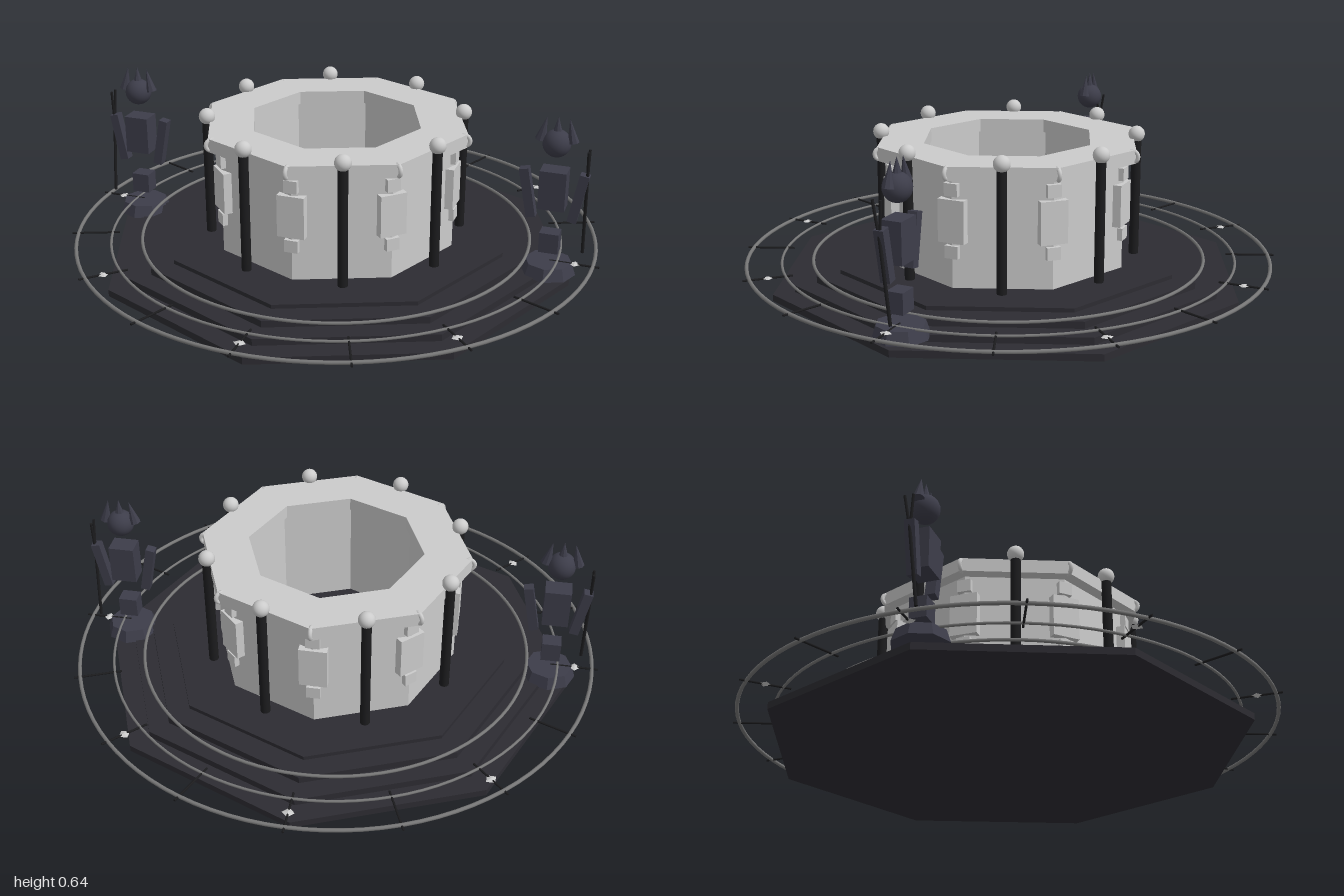
import * as THREE from 'three';

const mat = (color, flatShading = false) => new THREE.MeshStandardMaterial({ color, flatShading });
const stone = mat(0xcccccc, true);
const pearl = mat(0xcccccc);
const basalt = mat(0x2d2c32, true);
const black = mat(0x1c1c1e);
const iron = mat(0x777777);
const slate = mat(0x3d3d4a, true);
const slateSmooth = mat(0x3d3d4a);

function add(parent, name, geometry, material, x = 0, y = 0, z = 0) {
  const mesh = new THREE.Mesh(geometry, material);
  mesh.name = name;
  mesh.position.set(x, y, z);
  parent.add(mesh);
  return mesh;
}

// Octagonal ring with a rectangular section
function octagonRing(inner, outer, y0, y1) {
  const p = [[inner, y0], [outer, y0], [outer, y1], [inner, y1], [inner, y0]];
  return new THREE.LatheGeometry(p.map(([r, y]) => new THREE.Vector2(r, y)), 8);
}

// Group turned to an angle, so that its +z points outward
function radial(parent, name, angle) {
  const g = new THREE.Group();
  g.name = name;
  g.rotation.y = angle;
  parent.add(g);
  return g;
}

// Thin rod between two points
function rod(parent, name, a, b, r, material) {
  const from = new THREE.Vector3(...a), to = new THREE.Vector3(...b);
  const dir = to.clone().sub(from);
  const mesh = add(parent, name, new THREE.CylinderGeometry(r, r, dir.length(), 8), material);
  mesh.position.copy(from).add(to).multiplyScalar(0.5);
  mesh.quaternion.setFromUnitVectors(new THREE.Vector3(0, 1, 0), dir.normalize());
  return mesh;
}

// Guardian statue standing on the -x side, staff on its outer side
function guardian() {
  const g = new THREE.Group();
  g.name = 'guardian';
  add(g, 'pedestal', new THREE.CylinderGeometry(0.085, 0.1, 0.045, 8), slate, 0, 0.068, 0);
  add(g, 'hips', new THREE.BoxGeometry(0.07, 0.075, 0.06), slate, 0, 0.168, 0);
  add(g, 'torso', new THREE.BoxGeometry(0.095, 0.145, 0.075), slate, 0, 0.373, 0);
  add(g, 'head', new THREE.SphereGeometry(0.05, 20, 14), slateSmooth, 0, 0.543, 0);
  add(g, 'crownSpike', new THREE.ConeGeometry(0.022, 0.075, 8), slate, 0, 0.605, 0);
  for (const s of [-1, 1]) {
    const arm = add(g, 'arm', new THREE.BoxGeometry(0.034, 0.185, 0.036), slate, s * 0.09, 0.347, 0);
    arm.rotation.z = -s * 0.19;
    const horn = add(g, 'horn', new THREE.ConeGeometry(0.021, 0.088, 8), slate, s * 0.048, 0.595, 0);
    horn.rotation.z = s * 0.2;
  }
  // Staff leaning slightly, with a two-pronged head
  rod(g, 'staff', [-0.115, 0.125, 0.03], [-0.115, 0.43, -0.003], 0.006, black);
  for (const z of [-0.022, 0.008]) {
    rod(g, 'prong', [-0.115, 0.4, 0], [-0.115, 0.53, z], 0.005, black);
  }
  return g;
}

export function createModel() {
  const model = new THREE.Group();
  model.name = 'ceremonialWell';

  // Stepped base
  [[0.895, 0, 0.025], [0.815, 0.025, 0.05], [0.735, 0.05, 0.075], [0.648, 0.075, 0.09]].forEach(([r, y0, y1]) =>
    add(model, 'baseStep', new THREE.CylinderGeometry(r, r, y1 - y0, 8), basalt, 0, (y0 + y1) / 2, 0));

  // Well wall and overhanging rim
  add(model, 'wall', octagonRing(0.345, 0.455, 0.09, 0.49), stone);
  add(model, 'rim', octagonRing(0.325, 0.5, 0.485, 0.535), stone);

  // Panels and clasps at the corners, pillars between them
  for (let i = 0; i < 8; i++) {
    const corner = radial(model, 'wallCorner', i * Math.PI / 4);
    add(corner, 'panel', new THREE.BoxGeometry(0.1, 0.155, 0.04), stone, 0, 0.333, 0.445);
    for (const y of [0.222, 0.445]) {
      add(corner, 'smallPanel', new THREE.BoxGeometry(0.05, 0.046, 0.034), stone, 0, y, 0.447);
    }
    const clasp = add(corner, 'rimClasp', new THREE.TorusGeometry(0.02, 0.008, 8, 16), pearl, 0, 0.51, 0.488);
    clasp.rotation.y = Math.PI / 2;

    const side = radial(model, 'wallSide', (i + 0.5) * Math.PI / 4);
    add(side, 'pillar', new THREE.CylinderGeometry(0.018, 0.018, 0.445, 12), black, 0, 0.31, 0.473);
    add(side, 'pillarBall', new THREE.SphereGeometry(0.03, 20, 14), pearl, 0, 0.55, 0.473);
  }

  // Floating hoops with radial ticks and gems
  for (const [r, t] of [[0.975, 0.007], [0.847, 0.005], [0.732, 0.006]]) {
    const hoop = add(model, 'hoop', new THREE.TorusGeometry(r, t, 8, 96), iron, 0, 0.089, 0);
    hoop.rotation.x = Math.PI / 2;
  }
  for (let i = 0; i < 16; i++) {
    const spoke = radial(model, 'hoopSpoke', i * Math.PI / 8);
    rod(spoke, 'tick', [0, 0.089, 0.82], [0, 0.089, 0.998], 0.004, black);
    if (i % 2 === 0) {
      const gem = add(spoke, 'gem', new THREE.OctahedronGeometry(0.022), stone, 0, 0.089, 0.91);
      gem.scale.y = 0.3;
    }
  }

  // Two guardians, facing each other by a half turn
  for (const turn of [0, Math.PI]) {
    const place = radial(model, 'guardianPlace', turn);
    const g = guardian();
    g.position.x = -0.815;
    place.add(g);
  }
  return model;
}
